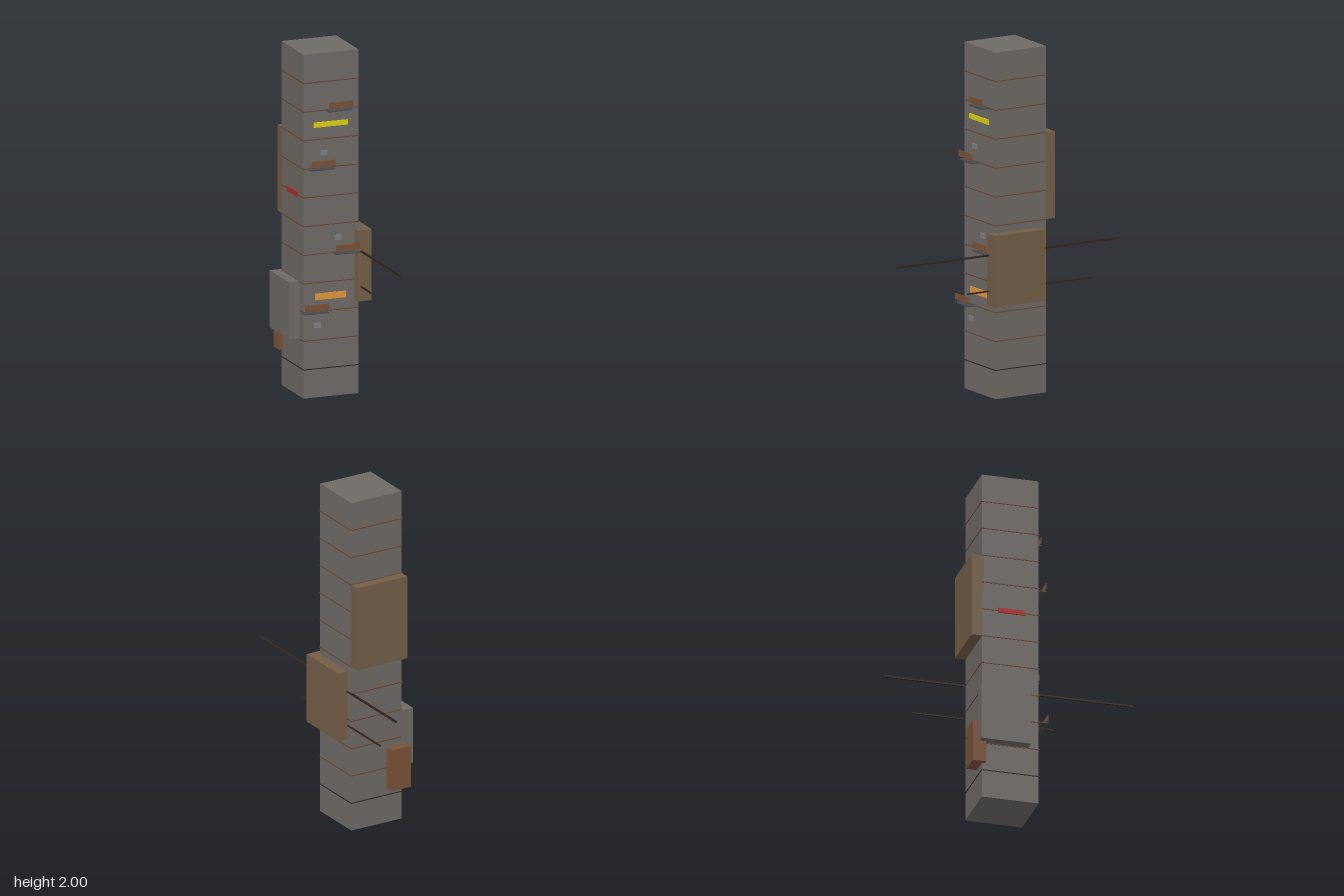
import * as THREE from 'three';

const CONCRETE = 0x6e6a66, TIMBER = 0x735e46, RUST = 0x7a5238, DARK = 0x33261e, STEEL = 0x4a4a4c, GREY = 0x7c7f82;

export function createModel() {
  const group = new THREE.Group();
  const materials = {};

  // Box given by its extents [min, max] along each axis
  function block(name, color, [x0, x1], [y0, y1], [z0, z1]) {
    materials[color] ??= new THREE.MeshStandardMaterial({ color });
    const mesh = new THREE.Mesh(new THREE.BoxGeometry(x1 - x0, y1 - y0, z1 - z0), materials[color]);
    mesh.position.set((x0 + x1) / 2, (y0 + y1) / 2, (z0 + z1) / 2);
    mesh.name = name;
    group.add(mesh);
  }

  const HALF = 1 / 6, BACK = -0.25, FRONT = 1 / 12, FLOOR = 1 / 6;

  // Tower with a thin ledge at each floor
  block('tower', CONCRETE, [-HALF, HALF], [0, 2], [BACK, FRONT]);
  for (let i = 1; i < 12; i++) {
    const y = i * FLOOR;
    block('floorLedge', i === 1 ? DARK : 0x6b4630, [-HALF - 0.003, HALF + 0.003], [y - 0.0025, y + 0.0025],
      [BACK - 0.003, FRONT + 0.003]);
  }

  // Extensions hung on the sides and back
  block('leftExtension', TIMBER, [0.145, 0.23], [0.545, 0.958], [-0.208, 0.125]);
  block('backExtension', TIMBER, [-HALF, HALF], [1.0, 1.5], [-0.31, -0.24]);
  block('rightExtension', CONCRETE, [-0.23, -0.16], [0.335, 0.668], [-0.27, 0.02]);
  block('backShed', RUST, [-0.19, -0.065], [0.21, 0.458], [-0.31, -0.23]);

  // Balconies: thin floor plate and front rail panel
  for (const [x, y] of [[0.038, 10], [-0.068, 8], [0.083, 5], [-0.107, 3]]) {
    const base = y * FLOOR;
    block('balconyFloor', STEEL, [x - 0.072, x + 0.072], [base - 0.002, base + 0.004], [FRONT, 0.138]);
    block('balconyRail', RUST, [x - 0.072, x + 0.072], [base + 0.018, base + 0.054], [0.134, 0.138]);
  }

  // Wall-mounted cooling units
  for (const [x, y] of [[-0.046, 1.42], [0.04, 0.92], [-0.086, 0.42]]) {
    block('coolingUnit', GREY, [x - 0.02, x + 0.02], [y - 0.014, y + 0.014], [FRONT, 0.094]);
  }

  // Plain lit signs
  block('yellowSign', 0xdbd012, [-0.106, 0.1], [1.57, 1.6], [FRONT, 0.088]);
  block('orangeSign', 0xe0963c, [-0.097, 0.09], [0.566, 0.604], [FRONT, 0.088]);
  block('redSign', 0xb02a2a, [-0.174, -HALF], [1.155, 1.182], [-0.155, 0.0]);

  // Long horizontal poles along the left wall
  block('upperPole', DARK, [0.162, 0.172], [0.83, 0.84], [-0.73, 0.73]);
  block('lowerPole', DARK, [0.163, 0.17], [0.624, 0.632], [-0.56, 0.27]);

  return group;
}
